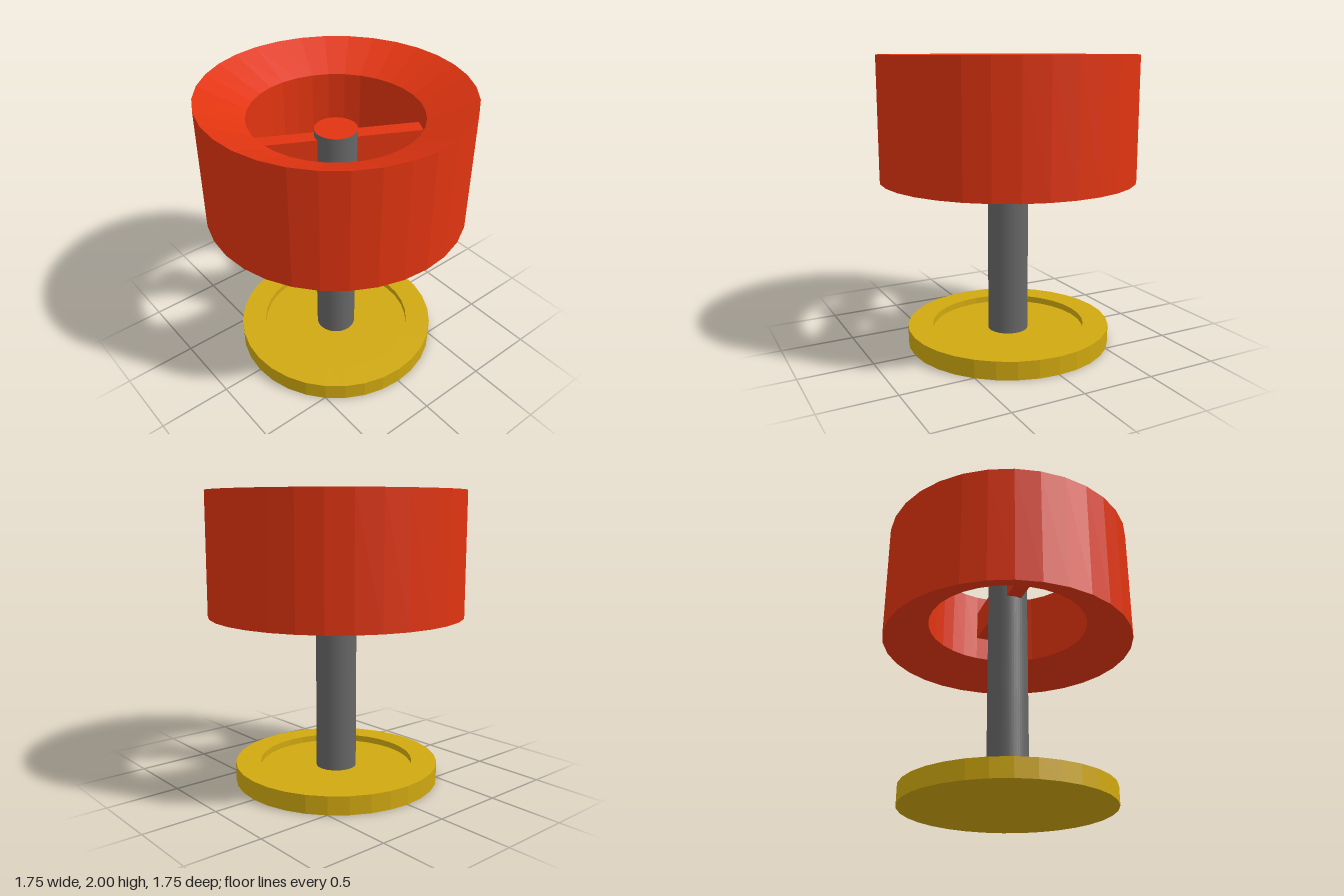
import * as THREE from 'three';

const SIDES = 32;
const paint = (color, flatShading = true) => new THREE.MeshStandardMaterial({ color, flatShading });

// Revolve a profile of [radius, y] pairs
const lathe = (pairs) =>
  new THREE.LatheGeometry(pairs.map(([r, y]) => new THREE.Vector2(r, y)), SIDES);

export function createModel() {
  const group = new THREE.Group();
  const red = paint(0xe03410);
  const yellow = paint(0xd0a810);
  const grey = paint(0x666666, false);

  const add = (name, geometry, material, y = 0) => {
    const mesh = new THREE.Mesh(geometry, material);
    mesh.name = name;
    mesh.position.y = y;
    group.add(mesh);
    return mesh;
  };

  // Base plate with a shallow round recess
  add('base', lathe([[0, 0], [0.71, 0], [0.71, 0.125], [0.535, 0.125], [0.535, 0.08], [0, 0.08]]), yellow);

  // Upright post with a red end face
  const bottom = 0.06, top = 1.755, radius = 0.14;
  add('post', new THREE.CylinderGeometry(radius, radius, top - bottom, 48, 1, true), grey, (top + bottom) / 2);
  add('postCap', new THREE.CircleGeometry(radius, 48).rotateX(-Math.PI / 2), red, top);

  // Hollow drum, its bore flared at both ends
  add('drum', lathe([[0.565, 1.315], [0.875, 1.165], [0.875, 2], [0.565, 1.855], [0.565, 1.315]]), red);

  // Two spokes joining the post to the drum
  const inner = 0.12, outer = 0.575;
  const angle = THREE.MathUtils.degToRad(62);
  for (const side of [0, 1]) {
    const geometry = new THREE.BoxGeometry(outer - inner, 0.22, 0.107).translate((outer + inner) / 2, 0, 0);
    add(side ? 'frontSpoke' : 'backSpoke', geometry, red, 1.6).rotation.y = angle + side * Math.PI;
  }

  return group;
}
